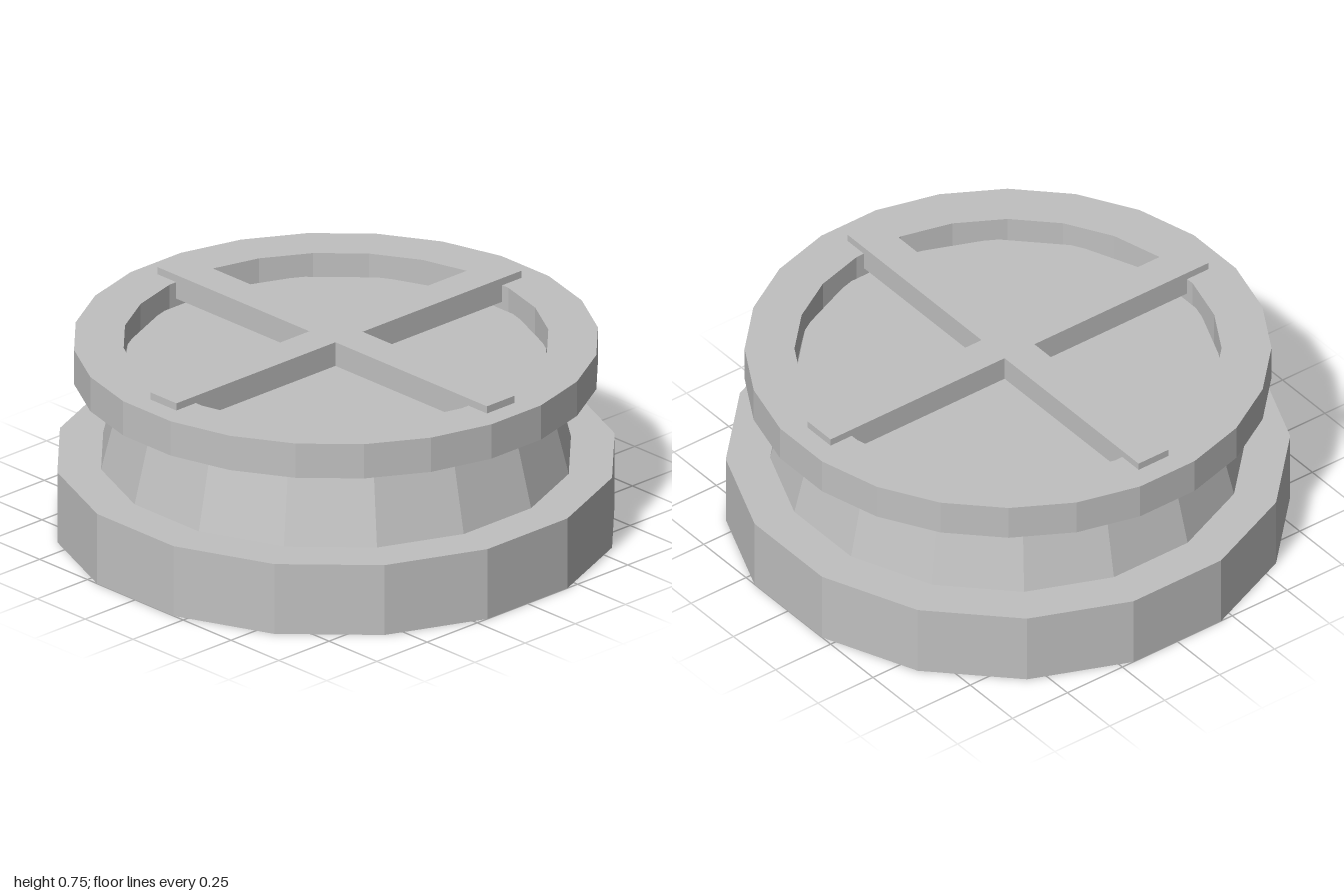
import * as THREE from 'three';

const grey = new THREE.MeshStandardMaterial({ color: 0xc0c0c0, flatShading: true });
grey.name = 'stone grey';

function part(name, geometry) {
  const mesh = new THREE.Mesh(geometry, grey);
  mesh.name = name;
  return mesh;
}

// Faceted drum with a flat side facing the front
function drum(rTop, rBottom, y0, y1, sides) {
  const g = new THREE.CylinderGeometry(rTop, rBottom, y1 - y0, sides);
  g.rotateY(Math.PI / sides);
  g.translate(0, (y0 + y1) / 2, 0);
  return g;
}

// Ring of rectangular section
function ring(rIn, rOut, y0, y1, sides) {
  const profile = [[rOut, y0], [rOut, y1], [rIn, y1], [rIn, y0], [rOut, y0]];
  const g = new THREE.LatheGeometry(profile.map(([r, y]) => new THREE.Vector2(r, y)), sides);
  g.rotateY(Math.PI / sides);
  return g;
}

// Plus-shaped pair of bars, extruded upwards
function cross(len, half, y0, y1) {
  const shape = new THREE.Shape();
  for (let i = 0; i < 4; i++) {
    const a = (i * Math.PI) / 2, c = Math.cos(a), s = Math.sin(a);
    for (const [x, y] of [[len, -half], [len, half], [half, half]]) {
      const px = x * c - y * s, py = x * s + y * c;
      if (i === 0 && x === len && y < 0) shape.moveTo(px, py);
      else shape.lineTo(px, py);
    }
  }
  shape.closePath();
  const g = new THREE.ExtrudeGeometry(shape, { depth: y1 - y0, bevelEnabled: false });
  g.rotateX(-Math.PI / 2);
  g.translate(0, y0, 0);
  return g;
}

export function createModel() {
  const model = new THREE.Group();
  model.name = 'pedestal';
  model.add(
    part('base', drum(1.02, 1.02, 0, 0.275, 16)),
    part('taperedBody', drum(0.77, 0.86, 0.275, 0.635, 16)),
    part('rim', ring(0.77, 0.95, 0.59, 0.725, 24)),
    part('crossBars', cross(0.86, 0.068, 0.66, 0.753)),
  );
  return model;
}
